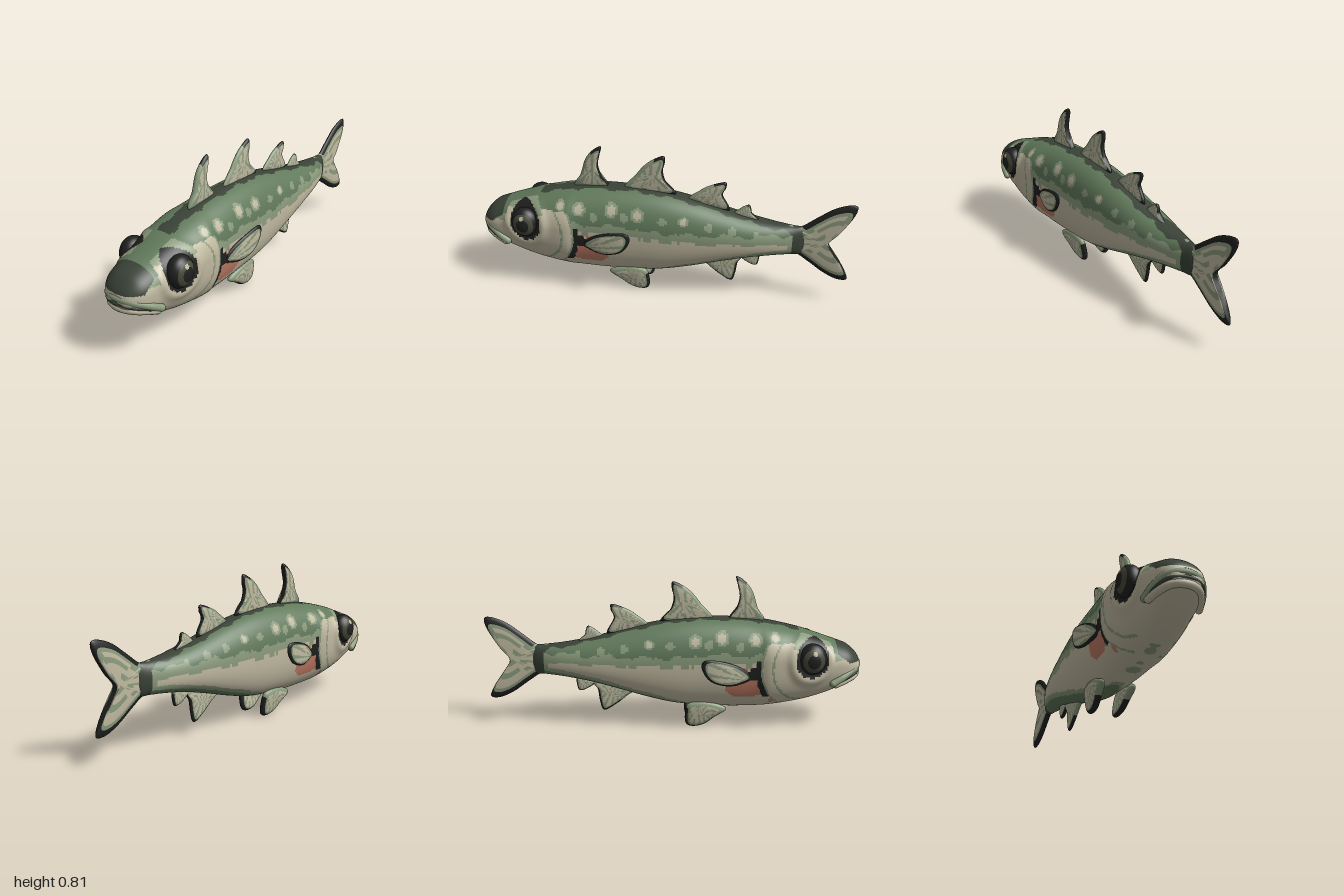
import * as THREE from 'three';

const palette = {
  green: 0x627a5c, darkGreen: 0x3b4338, sage: 0x8c9c7e, cream: 0xc3bca3,
  black: 0x1f211f, salmon: 0xc17c66, olive: 0x484a3a,
};
const names = Object.keys(palette);
const mats = names.map((name) => {
  const m = new THREE.MeshStandardMaterial({ color: palette[name] });
  m.name = name;
  return m;
});
const mat = (name) => mats[names.indexOf(name)];

// Smooth surface from rings of points; every face gets its colour from a rule.
function surface(name, rows, cols, point, paint) {
  const pos = [], buckets = names.map(() => []);
  for (let i = 0; i <= rows; i++)
    for (let j = 0; j < cols; j++) pos.push(...point(i / rows, j / cols));
  for (let i = 0; i < rows; i++)
    for (let j = 0; j < cols; j++) {
      const k = (j + 1) % cols;
      const a = i * cols + j, b = i * cols + k, c = a + cols, d = b + cols;
      const mid = [0, 1, 2].map((n) => (pos[a * 3 + n] + pos[d * 3 + n]) / 2);
      const colour = paint((i + 0.5) / rows, (j + 0.5) / cols, ...mid);
      buckets[names.indexOf(colour)].push(a, b, c, b, d, c);
    }
  const geo = new THREE.BufferGeometry();
  geo.setAttribute('position', new THREE.Float32BufferAttribute(pos, 3));
  geo.setIndex(buckets.flat());
  let start = 0;
  buckets.forEach((list, m) => {
    if (list.length) geo.addGroup(start, list.length, m);
    start += list.length;
  });
  geo.computeVertexNormals();
  const mesh = new THREE.Mesh(geo, mats);
  mesh.name = name;
  return mesh;
}

// Body stations: z, top, bottom, half width, height of the widest level
const stations = [
  [0.992, 0.345, 0.315, 0.012, 0.33], [0.985, 0.375, 0.295, 0.055, 0.335],
  [0.965, 0.405, 0.275, 0.088, 0.34], [0.925, 0.44, 0.245, 0.117, 0.345],
  [0.87, 0.463, 0.212, 0.133, 0.35], [0.8, 0.487, 0.18, 0.142, 0.36],
  [0.7, 0.522, 0.15, 0.163, 0.375], [0.6, 0.55, 0.13, 0.176, 0.385],
  [0.5, 0.572, 0.116, 0.183, 0.39], [0.43, 0.583, 0.109, 0.168, 0.39],
  [0.3, 0.593, 0.106, 0.161, 0.385], [0.15, 0.594, 0.112, 0.154, 0.38],
  [0, 0.583, 0.126, 0.149, 0.375], [-0.15, 0.556, 0.162, 0.139, 0.37],
  [-0.3, 0.518, 0.207, 0.125, 0.368], [-0.45, 0.48, 0.248, 0.106, 0.368],
  [-0.58, 0.457, 0.272, 0.08, 0.366], [-0.68, 0.447, 0.283, 0.05, 0.365],
  [-0.74, 0.44, 0.29, 0.025, 0.365], [-0.76, 0.38, 0.35, 0.004, 0.365],
];
const heights = new THREE.CatmullRomCurve3(
  stations.map(([z, t, b]) => new THREE.Vector3(z, t, b)), false, 'catmullrom');
const widths = new THREE.CatmullRomCurve3(
  stations.map(([, , , w, m]) => new THREE.Vector3(w, m, 0)), false, 'catmullrom');
const power = (v, p) => Math.sign(v) * Math.abs(v) ** p;
const EYE = { x: 0.146, y: 0.405, z: 0.717 };
const eyeDistance = (y, z) => Math.hypot(z - EYE.z, (y - EYE.y) * 0.88);

function bodyPoint(u, v) {
  const h = heights.getPoint(u), w = widths.getPoint(u);
  const a = v * Math.PI * 2, c = Math.cos(a), s = Math.sin(a);
  const p = c > 0 ? 2 / 2.15 : 2 / 2.45;
  const y = w.y + power(c, p) * (c > 0 ? h.y - w.y : w.y - h.z);
  // raised ring around each eye
  const ridge = 0.014 * Math.exp(-(((eyeDistance(y, h.x) - 0.105) / 0.025) ** 2));
  return [power(s, p) * w.x + s * ridge, y, h.x];
}

// Light flank spots: z, y, radius
const spots = [
  [0.52, 0.515, 0.016], [0.42, 0.505, 0.022], [0.34, 0.47, 0.014], [0.25, 0.512, 0.023],
  [0.18, 0.48, 0.014], [0.11, 0.495, 0.022], [-0.02, 0.47, 0.014], [-0.13, 0.475, 0.016],
  [-0.26, 0.45, 0.013], [-0.38, 0.435, 0.013], [-0.5, 0.42, 0.01],
];

function bodyPaint(u, v, x, y, z) {
  const X = Math.abs(x), bottom = heights.getPoint(u).z;
  const wave = Math.sin(z * 31) * 0.6 + Math.sin(z * 73 + 1) * 0.4;
  const eye = eyeDistance(y, z), gill = Math.hypot(z - 0.68, (y - 0.36) * 0.9);
  if (z < -0.685) return 'darkGreen';
  // head
  if (z > 0.855 && y > 0.37 && X < 0.118) return 'darkGreen';
  if (eye < 0.088) return 'black';
  if (eye < 0.118 && X > 0.06) return y > 0.46 ? 'sage' : 'cream';
  if (z > 0.68) {
    if (y < 0.39) return 'cream';
    return y < 0.425 ? 'sage' : 'green';
  }
  if (gill < 0.232 && y < 0.49 && X > 0.06)
    return (gill > 0.165 && gill < 0.176) || gill > 0.222 ? 'sage' : 'cream';
  if (gill < 0.258 && y > 0.2 && y < 0.4) return 'black';
  if (Math.hypot(z - 0.415, y - 0.325) < 0.036) return 'black';
  // warm blush below the side fin
  const blush = (Math.abs(z - 0.38) / 0.115) ** 3 + (Math.abs(y - 0.25 - wave * 0.008) / 0.052) ** 3;
  if (blush < 1 || Math.hypot(z - 0.37, y - 0.32) < 0.035) return 'salmon';
  if (Math.hypot(z - 0.51, y - 0.17) < 0.014) return 'salmon';
  // back stripe, spots, flank bands and belly
  if (y > 0.4 && X < 0.042 + wave * 0.012 && z < 0.66) return 'darkGreen';
  for (const [sz, sy, r] of spots) {
    const d = Math.hypot(z - sz, y - sy);
    if (d < r) return r > 0.015 ? 'cream' : 'sage';
    if (d < r * 1.6) return 'sage';
  }
  const belly = 0.028 * THREE.MathUtils.clamp((0.25 - z) * 3, 0, 1);
  if (y < bottom + belly) return 'green';
  if (y < bottom + belly * 1.8 + wave * 0.003) return 'sage';
  const edge = (z > 0.1 ? 0.378 : 0.362) + wave * 0.007;
  if (y < edge) return z < -0.665 ? 'sage' : 'cream';
  return y < edge + 0.05 + wave * 0.008 ? 'sage' : 'green';
}

// Rounded fin from a (z, y) outline; the rim is black between two outline fractions.
function fin(name, outline, thick, dark, offset = () => 0) {
  const curve = new THREE.CatmullRomCurve3(
    outline.map(([z, y]) => new THREE.Vector3(0, y, z)), true, 'catmullrom');
  const centre = new THREE.Vector3();
  outline.forEach(([z, y]) => centre.add(new THREE.Vector3(0, y, z).divideScalar(outline.length)));
  const [z0, y0] = outline[0], [z1, y1] = outline[outline.length - 1];
  return surface(name, 20, 120, (u, v) => {
    const k = 1 - 2 * u, s = 1 - k * k;
    const p = curve.getPoint(v).sub(centre).multiplyScalar(s).add(centre);
    return [offset(p.y, p.z) + Math.sign(k) * thick * Math.sqrt(1 - s ** 4), p.y, p.z];
  }, (u, v, x, y, z) => {
    const s = 1 - (1 - 2 * u) ** 2;
    if (s > 0.84 && v > dark[0] && v < dark[1]) return 'black';
    if (s > 0.7) return 'sage';
    const ray = Math.sin(Math.atan2(y - (y0 + y1) / 2, z - (z0 + z1) / 2) * 24);
    return ray > 0.45 ? 'sage' : 'cream';
  });
}

const dorsalFins = [
  [[0.47, 0.57], [0.44, 0.645], [0.41, 0.735], [0.365, 0.79], [0.325, 0.81], [0.335, 0.76],
    [0.345, 0.7], [0.325, 0.63], [0.29, 0.57]],
  [[0.2, 0.57], [0.14, 0.67], [0.08, 0.74], [0, 0.785], [-0.01, 0.75], [0, 0.7],
    [-0.015, 0.64], [-0.06, 0.565]],
  [[-0.14, 0.54], [-0.2, 0.61], [-0.26, 0.645], [-0.325, 0.665], [-0.33, 0.635],
    [-0.315, 0.59], [-0.345, 0.5]],
  [[-0.38, 0.48], [-0.405, 0.52], [-0.45, 0.547], [-0.465, 0.522], [-0.47, 0.5], [-0.51, 0.455]],
];
const analFins = [
  [[-0.43, 0.25], [-0.41, 0.19], [-0.4, 0.12], [-0.38, 0.07], [-0.32, 0.1], [-0.25, 0.155], [-0.19, 0.215]],
  [[-0.52, 0.27], [-0.52, 0.21], [-0.505, 0.185], [-0.46, 0.2], [-0.42, 0.235], [-0.46, 0.27]],
];
const tailFin = [
  [-0.65, 0.44], [-0.72, 0.445], [-0.8, 0.505], [-0.88, 0.565], [-0.955, 0.595], [-0.995, 0.59],
  [-0.985, 0.535], [-0.93, 0.44], [-0.875, 0.365], [-0.91, 0.295], [-0.96, 0.225], [-0.99, 0.155],
  [-0.94, 0.147], [-0.865, 0.18], [-0.78, 0.24], [-0.71, 0.285], [-0.65, 0.29],
];
const pectoralFin = [
  [0.41, 0.31], [0.34, 0.37], [0.25, 0.405], [0.165, 0.415], [0.14, 0.385], [0.16, 0.33],
  [0.205, 0.29], [0.29, 0.27], [0.37, 0.285],
];
const pelvicFin = [
  [0.08, 0.14], [0.06, 0.08], [0.065, 0.02], [0.1, 0.002], [0.16, 0.015], [0.22, 0.06],
  [0.28, 0.11], [0.18, 0.15],
];

// Lip tube mirrored across the middle from points on the model's left
function lip(name, half, radius, colour) {
  const pts = [...half.map(([x, y, z]) => [-x, y, z]), ...half.slice(0, -1).reverse()];
  const curve = new THREE.CatmullRomCurve3(pts.map((p) => new THREE.Vector3(...p)));
  const group = new THREE.Group();
  group.name = name;
  group.add(new THREE.Mesh(new THREE.TubeGeometry(curve, 48, radius, 12), mat(colour)));
  for (const end of [pts[0], pts[pts.length - 1]]) {
    const cap = new THREE.Mesh(new THREE.SphereGeometry(radius, 12, 8), mat(colour));
    cap.position.set(...end);
    group.add(cap);
  }
  return group;
}

// Bulging eye with iris, pupil and glint
const eye = (name, side) => surface(name, 40, 48, (u, v) => {
  const a = u * Math.PI, b = v * Math.PI * 2, r = Math.sin(a);
  return [side * EYE.x + 0.059 * Math.cos(a), EYE.y + 0.083 * r * Math.cos(b),
    EYE.z - 0.074 * r * Math.sin(b)];
}, (u, v, x, y, z) => {
  const dy = (y - EYE.y) / 0.083, dz = (z - EYE.z) / 0.074, r = Math.hypot(dy, dz);
  if (Math.hypot(dy - 0.5, dz - 0.05) < 0.15) return 'cream';
  return r > 0.42 && r < 0.74 ? 'olive' : 'black';
});

export function createModel() {
  const fish = new THREE.Group();
  fish.name = 'fish';
  fish.add(surface('body', 210, 120, bodyPoint, bodyPaint));
  dorsalFins.forEach((o, i) => fish.add(fin('dorsalFin' + (i + 1), o, 0.019 - i * 0.002, [0.3, 0.9])));
  analFins.forEach((o, i) => fish.add(fin('analFin' + (i + 1), o, 0.015, [0.05, 0.65])));
  fish.add(fin('tailFin', tailFin, 0.022, [0.07, 0.9]));
  for (const [label, side] of [['left', 1], ['right', -1]]) {
    fish.add(eye(label + 'Eye', side));
    fish.add(fin(label + 'PectoralFin', pectoralFin, 0.014, [0, 1],
      (y, z) => side * (0.19 - 0.7 * (z - 0.17) ** 2)));
    fish.add(fin(label + 'PelvicFin', pelvicFin, 0.024, [0.05, 0.62], (y) => side * (0.067 + 0.15 * y)));
  }
  fish.add(lip('upperLip', [[0.133, 0.265, 0.835], [0.118, 0.3, 0.893], [0.075, 0.335, 0.956], [0, 0.345, 0.98]], 0.019, 'sage'));
  fish.add(lip('lowerLip', [[0.124, 0.256, 0.85], [0.105, 0.272, 0.9], [0.065, 0.288, 0.955], [0, 0.292, 0.976]], 0.019, 'cream'));
  fish.add(lip('mouthLine', [[0.136, 0.262, 0.84], [0.118, 0.286, 0.9], [0.074, 0.311, 0.965], [0, 0.318, 0.987]], 0.009, 'darkGreen'));
  return fish;
}
